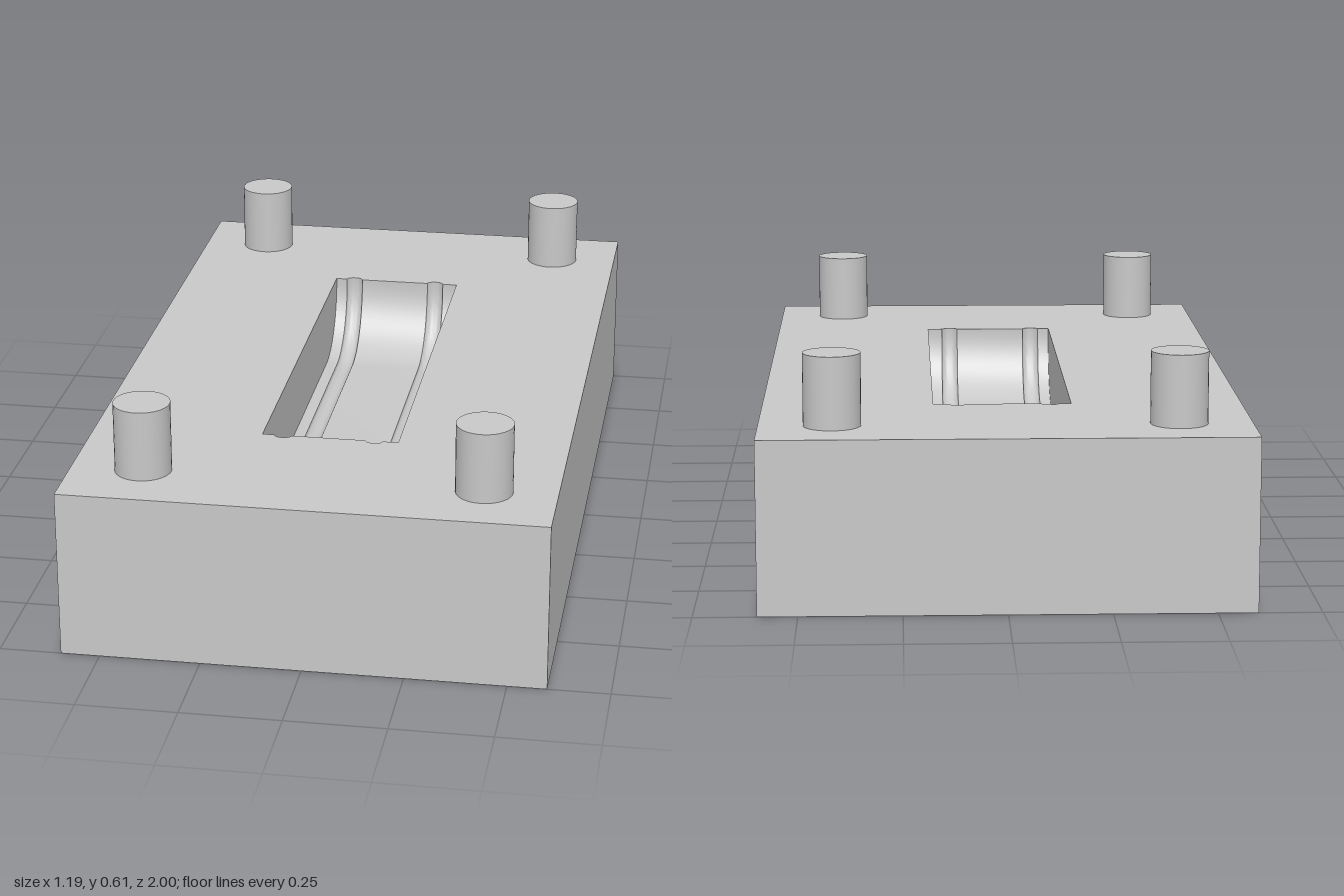
import * as THREE from 'three';
import { toCreasedNormals } from 'three/addons/utils/BufferGeometryUtils.js';

const W = 1.194, L = 2, TOP = 0.427;                         // block
const CX = 0.172, CZ = 0.565, DEPTH = 0.19, R = 0.18;        // cavity
const PEG = { x: 0.418, z: 0.823, r: 0.07, top: 0.605 };

// Cross-section of the cavity floor along x: [x, extra depth], with two round grooves
function floorSection() {
  const pts = [[-CX, 0]];
  for (const c of [-0.12, 0.111]) {
    for (let i = 0; i <= 10; i++) {
      const a = Math.PI * i / 10;
      pts.push([c - 0.022 * Math.cos(a), 0.014 * Math.sin(a)]);
    }
  }
  pts.push([CX, 0]);
  return pts;
}

// Lengthwise path of the cavity, front to back: [z, y], pushed outward by d
function cavityPath(d) {
  const half = [[CZ + d, TOP]];
  for (let i = 0; i <= 16; i++) {
    const a = Math.PI / 2 * i / 16;
    half.push([CZ - R + (R + d) * Math.cos(a), TOP - DEPTH + R - (R + d) * Math.sin(a)]);
  }
  return half.concat(half.slice().reverse().map(([z, y]) => [-z, y]));
}

function cavityFloorGeometry(section) {
  const pos = [], index = [];
  const rows = cavityPath(0).length;
  for (const [x, d] of section) {
    for (const [z, y] of cavityPath(d)) pos.push(x, y, z);
  }
  for (let i = 0; i < section.length - 1; i++) {
    for (let j = 0; j < rows - 1; j++) {
      const a = i * rows + j, b = a + rows;
      index.push(a, b, a + 1, b, b + 1, a + 1);
    }
  }
  const geo = new THREE.BufferGeometry();
  geo.setAttribute('position', new THREE.Float32BufferAttribute(pos, 3));
  geo.setIndex(index);
  return toCreasedNormals(geo, 0.6);
}

export function createModel() {
  const model = new THREE.Group();
  model.name = 'mouldHalf';
  const grey = new THREE.MeshStandardMaterial({ color: 0xc8c8c8, side: THREE.DoubleSide });
  grey.name = 'plain grey';
  const add = (name, geo) => {
    const mesh = new THREE.Mesh(geo, grey);
    mesh.name = name;
    model.add(mesh);
    return mesh;
  };
  const section = floorSection();

  // Block sides and underside: a box with its top face left out
  const box = new THREE.BoxGeometry(W, TOP, L);
  const faces = Array.from(box.index.array);
  faces.splice(12, 6);
  box.setIndex(faces);
  box.clearGroups();
  add('block', box).position.y = TOP / 2;

  // Top face with the cavity opening, notched where the grooves meet it
  const top = new THREE.Shape([[-W, -L], [W, -L], [W, L], [-W, L]]
    .map(([x, z]) => new THREE.Vector2(x / 2, z / 2)));
  const rim = section.map(([x, d]) => new THREE.Vector2(x, CZ + d));
  const rimBack = section.map(([x, d]) => new THREE.Vector2(x, -CZ - d)).reverse();
  top.holes.push(new THREE.Path([...rim, ...rimBack]));
  add('partingFace', new THREE.ShapeGeometry(top).rotateX(-Math.PI / 2)).position.y = TOP;

  // Cavity: curved, grooved floor and two flat side walls
  add('cavityFloor', cavityFloorGeometry(section));
  const wall = new THREE.Shape(cavityPath(0).map(([z, y]) => new THREE.Vector2(z, y)));
  for (const s of [-1, 1]) {
    const side = add('cavityWall', new THREE.ShapeGeometry(wall).rotateY(-s * Math.PI / 2));
    side.position.x = s * CX;
  }

  // Four locating pegs
  const h = PEG.top - TOP;
  for (const sx of [-1, 1]) {
    for (const sz of [-1, 1]) {
      add('locatingPeg', new THREE.CylinderGeometry(PEG.r, PEG.r, h, 40))
        .position.set(sx * PEG.x, TOP + h / 2, sz * PEG.z);
    }
  }
  return model;
}
